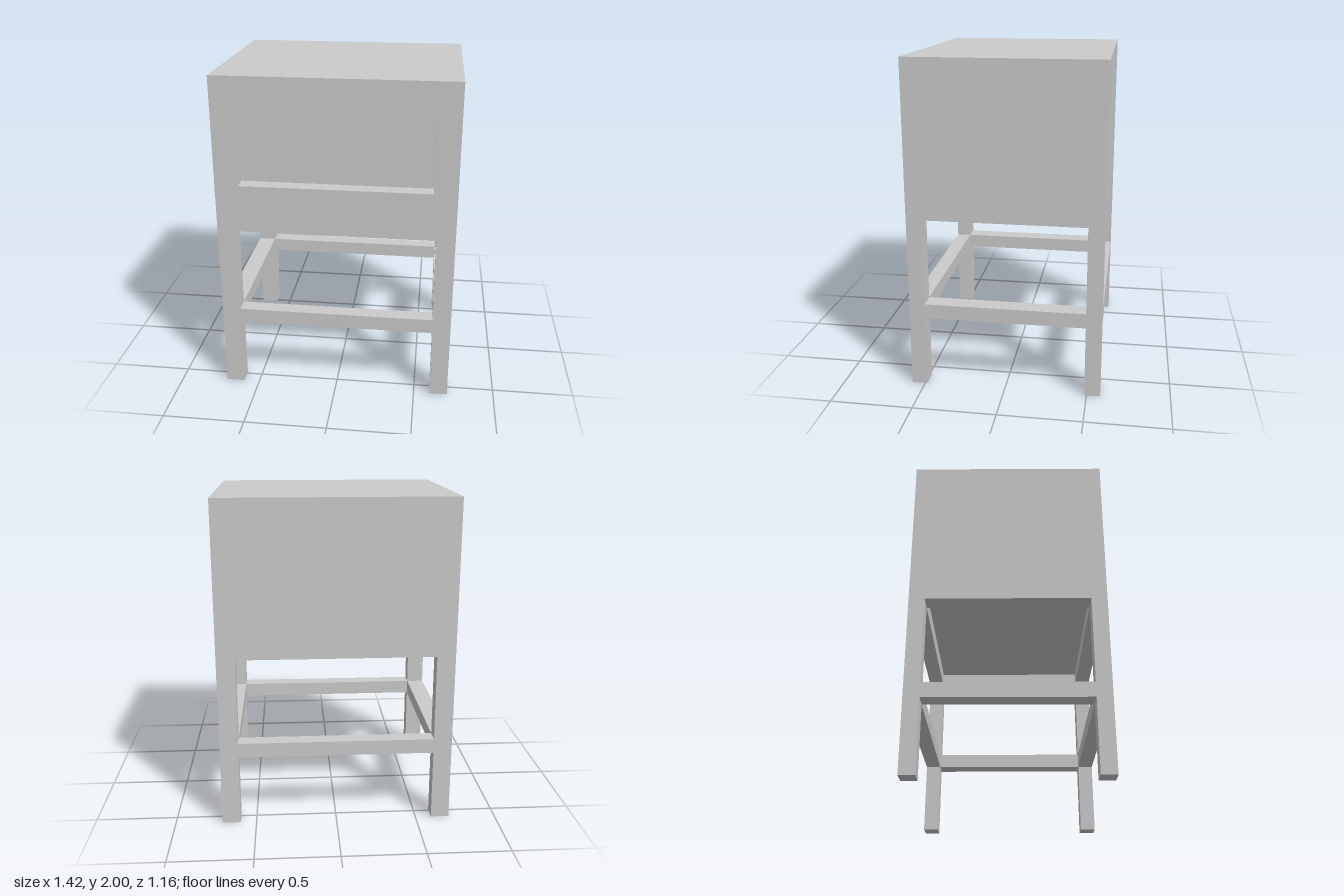
import * as THREE from 'three';

const W = 1.42, D = 1.16, H = 2;      // overall size
const LX = 0.112, LZ = 0.094;         // leg section
const BODY = 1.06, PANEL = 1.15;      // body bottom edge and raised underside
const mat = new THREE.MeshStandardMaterial({ color: 0xcccccc, flatShading: true });

function box(name, x0, x1, y0, y1, z0, z1) {
  const mesh = new THREE.Mesh(new THREE.BoxGeometry(x1 - x0, y1 - y0, z1 - z0), mat);
  mesh.position.set((x0 + x1) / 2, (y0 + y1) / 2, (z0 + z1) / 2);
  mesh.name = name;
  return mesh;
}

function rectangle(path, x0, x1, y0, y1) {
  path.moveTo(x0, y0);
  path.lineTo(x1, y0);
  path.lineTo(x1, y1);
  path.lineTo(x0, y1);
  path.closePath();
  return path;
}

export function createModel() {
  const model = new THREE.Group();
  model.name = 'standingCabinet';
  const x = W / 2, z = D / 2, ix = x - LX, iz = z - LZ;

  // Cabinet block behind the front panel
  model.add(box('cabinetBody', -x, x, PANEL, H, -z, iz));

  // Front panel with a rectangular recess
  const face = rectangle(new THREE.Shape(), -x, x, BODY, H);
  face.holes.push(rectangle(new THREE.Path(), -0.57, 0.57, 1.35, 1.785));
  const front = new THREE.Mesh(
    new THREE.ExtrudeGeometry(face, { depth: LZ, bevelEnabled: false }), mat);
  front.position.z = iz;
  front.name = 'frontPanel';
  model.add(front);

  // Rim below the cabinet floor
  model.add(box('backRim', -x, x, BODY, PANEL, -z, -iz));
  model.add(box('leftRim', ix, x, BODY, PANEL, -iz, iz));
  model.add(box('rightRim', -x, -ix, BODY, PANEL, -iz, iz));

  // Legs
  for (const sx of [-1, 1]) for (const sz of [-1, 1]) {
    const leg = box((sz > 0 ? 'front' : 'back') + (sx > 0 ? 'Left' : 'Right') + 'Leg',
      -LX / 2, LX / 2, 0, BODY, -LZ / 2, LZ / 2);
    leg.position.x = sx * (x - LX / 2);
    leg.position.z = sz * (z - LZ / 2);
    model.add(leg);
  }

  // Stretchers between the legs
  model.add(box('frontStretcher', -ix, ix, 0.44, 0.53, iz, z));
  model.add(box('backStretcher', -ix, ix, 0.44, 0.53, -z, -iz));
  model.add(box('leftStretcher', ix, x, 0.44, 0.53, -iz, iz));
  model.add(box('rightStretcher', -x, -ix, 0.44, 0.53, -iz, iz));

  return model;
}
